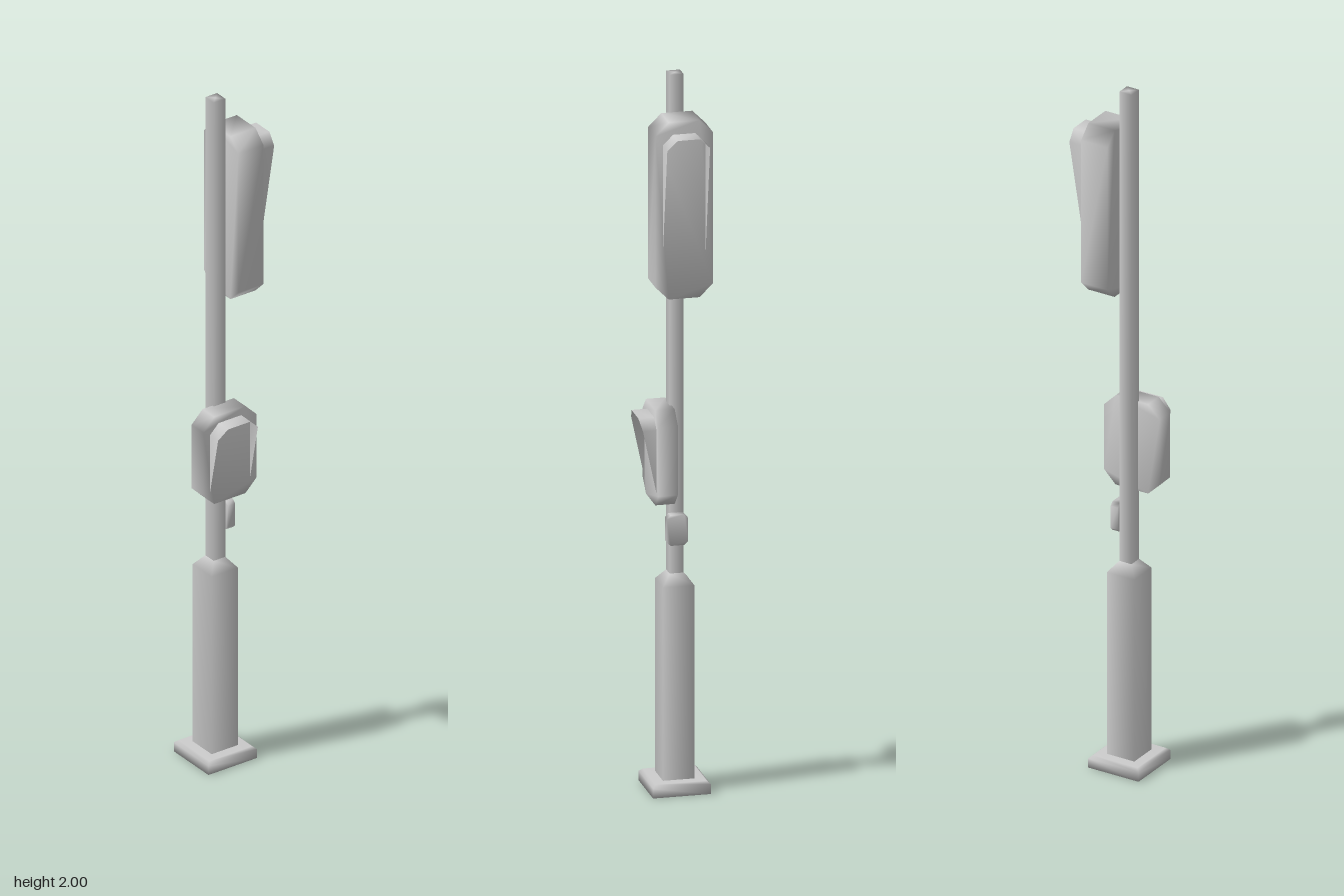
import * as THREE from 'three';
import { mergeVertices } from 'three/addons/utils/BufferGeometryUtils.js';

const grey = new THREE.MeshStandardMaterial({ color: 0xcccccc });
const greyThin = new THREE.MeshStandardMaterial({ color: 0xcccccc, side: THREE.DoubleSide });

// Shared corners give soft normals over the whole part
function soften(geometry) {
  geometry.deleteAttribute('normal');
  geometry.deleteAttribute('uv');
  const g = mergeVertices(geometry, 1e-5);
  g.computeVertexNormals();
  return g;
}

// Square post from [half width, y] rings
function squarePost(name, rings) {
  const points = rings.map(([half, y]) => new THREE.Vector2(half * Math.SQRT2, y));
  const mesh = new THREE.Mesh(new THREE.LatheGeometry(points, 4, Math.PI / 4), grey);
  mesh.name = name;
  mesh.position.set(-0.035, 0, -0.016);
  return mesh;
}

// Upright box with cut corners, back on z = 0, bottom on y = 0
function housing(name, w, h, depth, cut) {
  const a = w / 2, b = a - cut;
  const shape = new THREE.Shape([
    [-b, 0], [b, 0], [a, cut], [a, h - cut],
    [b, h], [-b, h], [-a, h - cut], [-a, cut],
  ].map(([x, y]) => new THREE.Vector2(x, y)));
  const geometry = new THREE.ExtrudeGeometry(shape, { depth, bevelEnabled: false });
  const mesh = new THREE.Mesh(soften(geometry), grey);
  mesh.name = name;
  return mesh;
}

// Thin open hood: its sides narrow to a point at the bottom
function hood(name, w, h, depth, cut) {
  const a = w / 2, b = a - cut;
  const path = [[-a, 0], [-a, h - cut], [-b, h], [b, h], [a, h - cut], [a, 0]];
  const positions = [], index = [];
  path.forEach(([x, y], i) => {
    positions.push(x, y, 0, x, y, depth * y / h);
    if (i) {
      const k = 2 * i;
      index.push(k - 2, k - 1, k, k - 1, k + 1, k);
    }
  });
  const geometry = new THREE.BufferGeometry();
  geometry.setAttribute('position', new THREE.Float32BufferAttribute(positions, 3));
  geometry.setIndex(index);
  geometry.computeVertexNormals();
  const mesh = new THREE.Mesh(geometry, greyThin);
  mesh.name = name;
  return mesh;
}

export function createModel() {
  const model = new THREE.Group();
  model.name = 'signalPost';

  // Base plate, thick lower column and slim pole
  model.add(
    squarePost('basePlate', [[0, 0], [0.079, 0], [0.079, 0.027], [0.07, 0.035], [0, 0.035]]),
    squarePost('lowerColumn', [[0.043, 0.03], [0.043, 0.575], [0.019, 0.605]]),
    squarePost('pole', [[0.019, 0.6], [0.019, 2], [0, 2]]),
  );

  // Large signal on the left side of the pole
  const upper = new THREE.Group();
  upper.name = 'upperSignal';
  const upperHood = hood('upperHood', 0.117, 0.34, 0.054, 0.028);
  upperHood.position.set(0, 0.12, 0.082);
  upper.add(housing('upperHousing', 0.157, 0.495, 0.082, 0.036), upperHood);
  upper.rotation.y = Math.PI / 2;
  upper.position.set(-0.016, 1.4, -0.0165);
  model.add(upper);

  // Small signal on the front of the pole
  const lower = new THREE.Group();
  lower.name = 'lowerSignal';
  const lowerHood = hood('lowerHood', 0.13, 0.205, 0.043, 0.028);
  lowerHood.position.set(0, 0.037, 0.053);
  lower.add(housing('lowerHousing', 0.174, 0.265, 0.053, 0.036), lowerHood);
  lower.position.set(-0.035, 0.81, -0.003);
  model.add(lower);

  // Push button box
  const button = housing('pushButton', 0.058, 0.085, 0.023, 0.01);
  button.rotation.y = Math.PI / 2;
  button.position.set(-0.016, 0.69, -0.013);
  model.add(button);

  return model;
}
